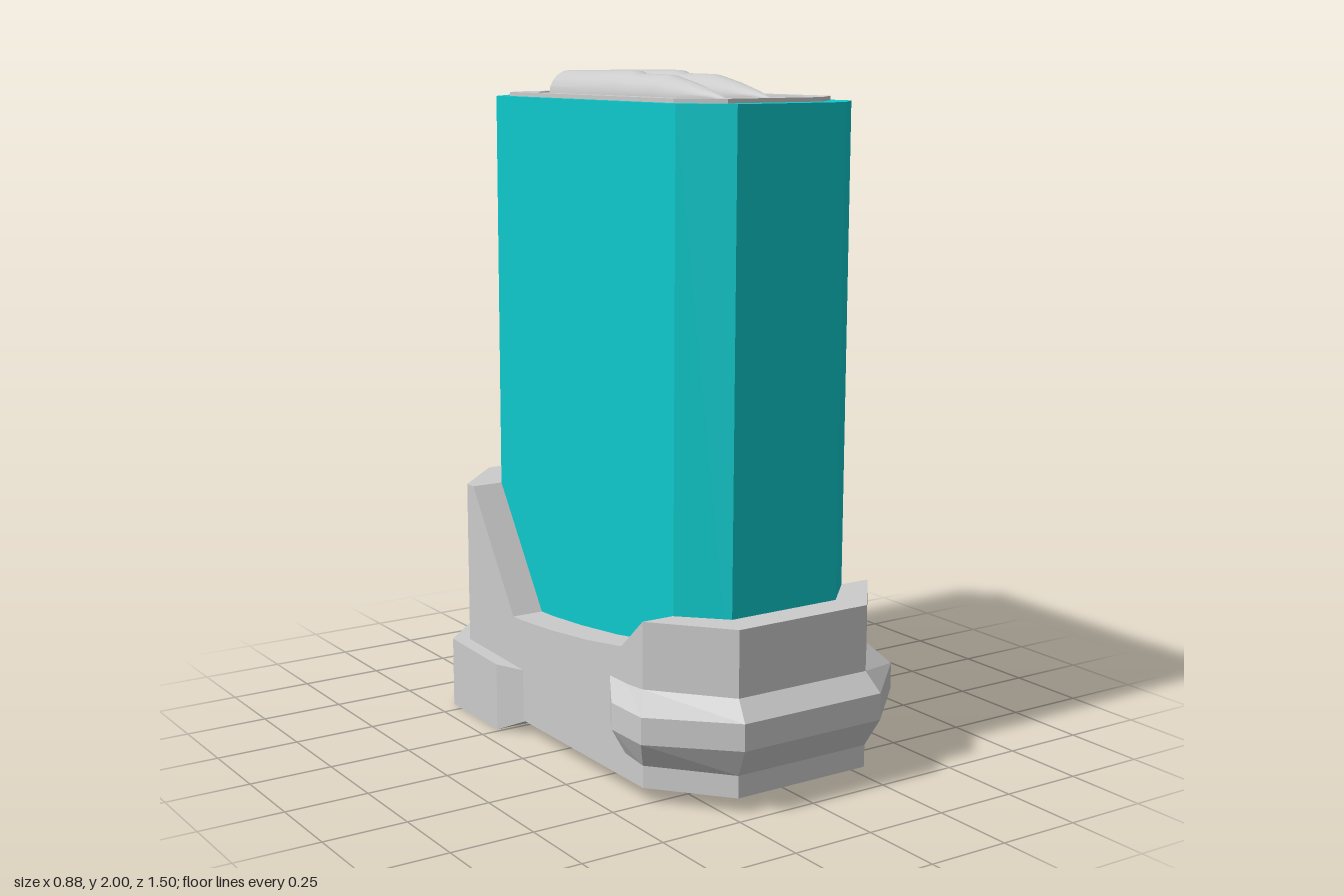
import * as THREE from 'three';
import { toCreasedNormals } from 'three/addons/utils/BufferGeometryUtils.js';

const grey = () => new THREE.MeshStandardMaterial({ color: 0xcccccc, flatShading: true });
const teal = () => new THREE.MeshStandardMaterial({ color: 0x0ec9cc, flatShading: true });

// Skins consecutive closed rings of [x, y, z] points, with optional end caps.
function loft(rings, capStart = true, capEnd = true) {
  const pos = [];
  const tri = (...pts) => pts.forEach((p) => pos.push(...p));
  const n = rings[0].length;
  for (let r = 0; r < rings.length - 1; r++) {
    for (let i = 0; i < n; i++) {
      const j = (i + 1) % n, a = rings[r], b = rings[r + 1];
      tri(a[i], b[i], b[j]);
      tri(a[i], b[j], a[j]);
    }
  }
  const cap = (ring, flip) => {
    const c = [0, 1, 2].map((k) => ring.reduce((s, p) => s + p[k], 0) / n);
    for (let i = 0; i < n; i++) {
      const p = ring[i], q = ring[(i + 1) % n];
      if (flip) tri(c, p, q);
      else tri(c, q, p);
    }
  };
  if (capStart) cap(rings[0], true);
  if (capEnd) cap(rings[rings.length - 1], false);
  const geo = new THREE.BufferGeometry();
  geo.setAttribute('position', new THREE.Float32BufferAttribute(pos, 3));
  geo.computeVertexNormals();
  return geo;
}

// Horizontal ring mirrored in x; half holds [x, z] points from back to front.
const plan = (y, half) => [
  ...half.map(([x, z]) => [x, y, z]),
  ...half.slice().reverse().map(([x, z]) => [-x, y, z]),
];

// Chamfered octagon: end half-width, side half-width, back z, back corner, front corner, front z.
const octagon = (y, e, w, zb, cb, cf, zf) => plan(y, [[e, zb], [w, cb], [w, cf], [e, zf]]);

// Upright rectangular section: z, half-width, bottom, top.
const section = ([z, w, y0, y1]) => [[w, y1, z], [w, y0, z], [-w, y0, z], [-w, y1, z]];

function createRound() {
  const profile = [
    [0, -0.405], [0.028, -0.405], [0.03, -0.395], [0.042, -0.395], [0.045, -0.418],
    [0.068, -0.418], [0.072, -0.41], [0.075, -0.03], [0.066, 0], [0.065, 0.15],
    [0.045, 0.26], [0.022, 0.36], [0, 0.43],
  ].map(([r, z]) => new THREE.Vector2(r, z));
  const geo = new THREE.LatheGeometry(profile, 20).rotateX(Math.PI / 2);
  return toCreasedNormals(geo, 0.5);
}

export function createModel() {
  const group = new THREE.Group();
  const add = (name, geo, mat) => {
    const mesh = new THREE.Mesh(geo, mat);
    mesh.name = name;
    group.add(mesh);
    return mesh;
  };

  // Tall chamfered casing, leaning slightly forward, with a flat top edge
  const rimOuter = [0.158, 0.265, -0.52, -0.445, 0.445, 0.545];
  add('casing', loft([
    octagon(0.3, 0.18, 0.295, -0.602, -0.482, 0.49, 0.608),
    octagon(1.92, 0.18, 0.295, -0.59, -0.475, 0.5, 0.62),
    octagon(1.92, ...rimOuter),
  ], true, false), teal());

  // Raised inner lip and the sunken tray that holds the rounds
  add('innerLiner', loft([
    octagon(1.915, ...rimOuter),
    octagon(1.932, ...rimOuter),
    octagon(1.932, 0.135, 0.215, -0.46, -0.37, 0.39, 0.49),
    octagon(1.7, 0.115, 0.185, -0.43, -0.36, 0.375, 0.455),
  ], false, true), grey());

  // Two layers of paired rounds pointing forward
  const round = createRound();
  for (const y of [1.925, 1.785]) {
    for (const x of [-0.075, 0.075]) {
      const mat = new THREE.MeshStandardMaterial({ color: 0xcccccc });
      add('round', round, mat).position.set(x, y, 0);
    }
  }

  // Base boot with a high back and a dipped side
  add('baseBoot', loft([
    [-0.7, 0.22, 0.02, 0.72],
    [-0.52, 0.395, 0.02, 0.72],
    [-0.48, 0.395, 0.02, 0.72],
    [-0.235, 0.395, 0.03, 0.36],
    [-0.17, 0.395, 0.045, 0.362],
    [0, 0.395, 0.045, 0.375],
    [0.2, 0.395, 0.045, 0.397],
    [0.38, 0.395, 0.045, 0.425],
    [0.49, 0.395, 0.045, 0.523],
    [0.7, 0.22, 0.045, 0.523],
  ].map(section)), grey());

  // Thick heel band around the back
  add('heelBand', loft([
    [-0.75, 0.235, 0, 0.22],
    [-0.55, 0.44, 0, 0.217],
    [-0.265, 0.44, 0, 0.208],
    [-0.17, 0.39, 0.045, 0.204],
  ].map(section)), grey());

  // Bevelled bumper around the front
  const inner = [[0.39, 0.31], [0.39, 0.4], [0.395, 0.49], [0.22, 0.7]];
  const outer = [[0.39, 0.31], [0.44, 0.4], [0.44, 0.55], [0.235, 0.75]];
  add('frontBumper', loft([
    plan(0.11, inner), plan(0.197, outer), plan(0.275, outer), plan(0.33, inner),
  ]), grey());

  return group;
}
